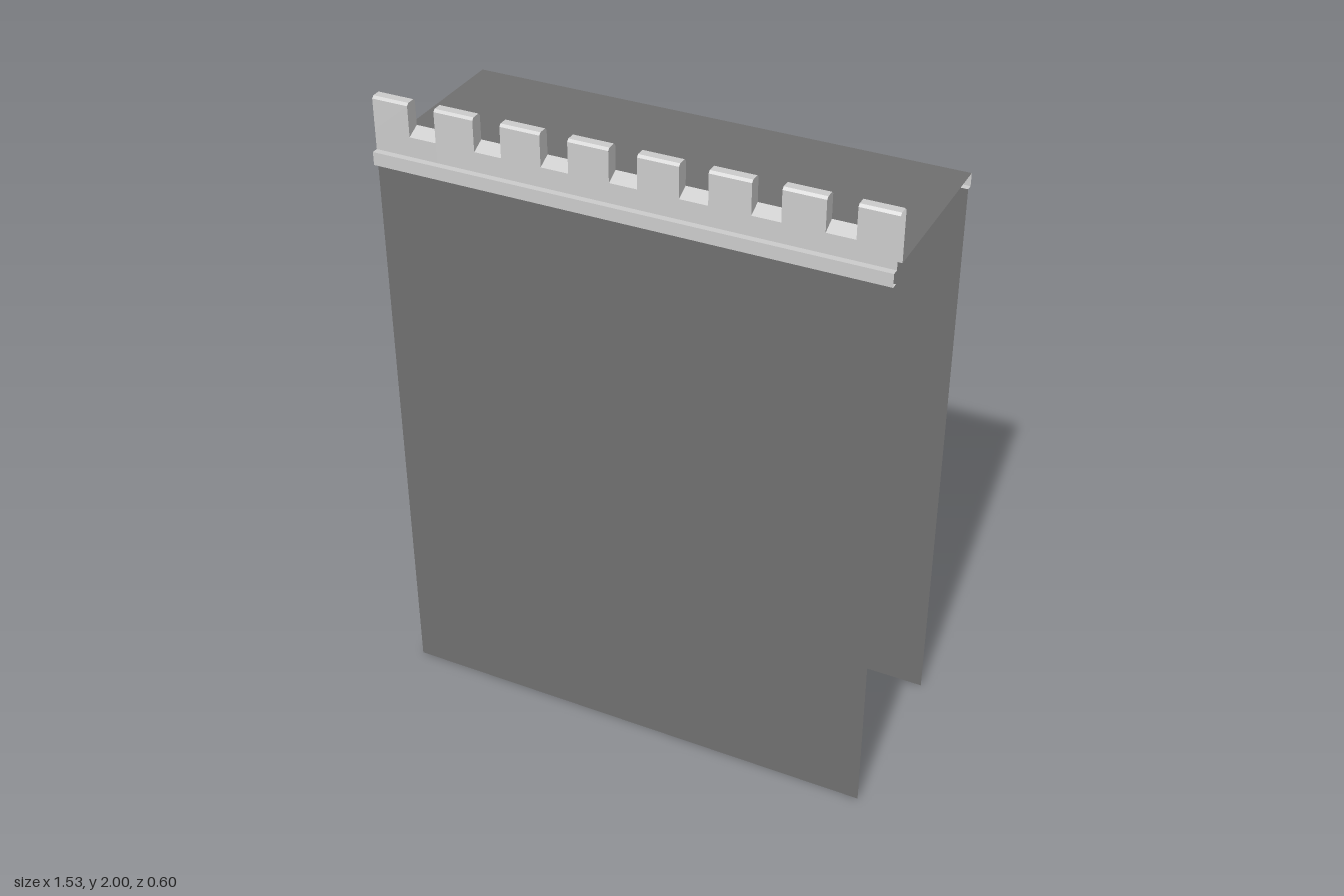
import * as THREE from 'three';

const HALF = 0.765;            // half length of the wall
const stone = new THREE.MeshStandardMaterial({ color: 0xcccccc, flatShading: true, side: THREE.DoubleSide });
const darkStone = new THREE.MeshStandardMaterial({ color: 0x707070, flatShading: true, side: THREE.DoubleSide });

// Open sheet: a [z, y] profile swept along x (front face runs upward, top runs backward)
function sheet(name, profile, material, x0 = -HALF, x1 = HALF) {
  const pos = [];
  for (let i = 0; i < profile.length - 1; i++) {
    const [z0, y0] = profile[i], [z1, y1] = profile[i + 1];
    pos.push(x0, y0, z0, x1, y0, z0, x1, y1, z1, x0, y0, z0, x1, y1, z1, x0, y1, z1);
  }
  const geo = new THREE.BufferGeometry();
  geo.setAttribute('position', new THREE.Float32BufferAttribute(pos, 3));
  geo.computeVertexNormals();
  const mesh = new THREE.Mesh(geo, material);
  mesh.name = name;
  return mesh;
}

// Flat side of a merlon at x, facing +x (1) or -x (-1)
function jamb(profile, x, facing) {
  const shape = new THREE.Shape(profile.map(([z, y]) => new THREE.Vector2(-facing * z, y)));
  const mesh = new THREE.Mesh(new THREE.ShapeGeometry(shape).rotateY(facing * Math.PI / 2), stone);
  mesh.position.x = x;
  mesh.name = 'merlonSide';
  return mesh;
}

export function createModel() {
  const wall = new THREE.Group();
  wall.name = 'battlementWall';

  // Wall faces and walkway; ends and underside stay open
  wall.add(
    sheet('frontWall', [[0.28, 0], [0.28, 1.8]], darkStone),
    sheet('backWall', [[-0.28, 1.8], [-0.28, 0]], darkStone),
    sheet('walkway', [[0.24, 1.84], [-0.3, 1.84]], darkStone),
    sheet('frontLedge', [[0.28, 1.8], [0.3, 1.8], [0.3, 1.84], [0.28, 1.84]], stone),
    sheet('backLedge', [[-0.3, 1.84], [-0.3, 1.8], [-0.28, 1.8]], stone)
  );

  // Crenellated parapet with sloping sills and chamfered merlon tops
  const parapet = new THREE.Group();
  parapet.name = 'parapet';
  const upper = [[0.28, 1.9], [0.28, 1.993], [0.273, 2], [0.247, 2], [0.24, 1.993], [0.24, 1.92]];
  const merlon = [[0.28, 1.84], ...upper, [0.24, 1.84]];
  const sill = [[0.28, 1.84], [0.28, 1.9], [0.24, 1.92], [0.24, 1.84]];
  const gaps = 7, pitch = 0.204, gapHalf = 0.0415;
  let start = -HALF;
  for (let i = 0; i < gaps; i++) {
    const c = (i - (gaps - 1) / 2) * pitch;
    const a = c - gapHalf, b = c + gapHalf;
    parapet.add(
      sheet('merlon', merlon, stone, start, a),
      sheet('crenelSill', sill, stone, a, b),
      jamb(upper, a, 1),
      jamb(upper, b, -1)
    );
    start = b;
  }
  parapet.add(sheet('merlon', merlon, stone, start, HALF));
  wall.add(parapet);
  return wall;
}
